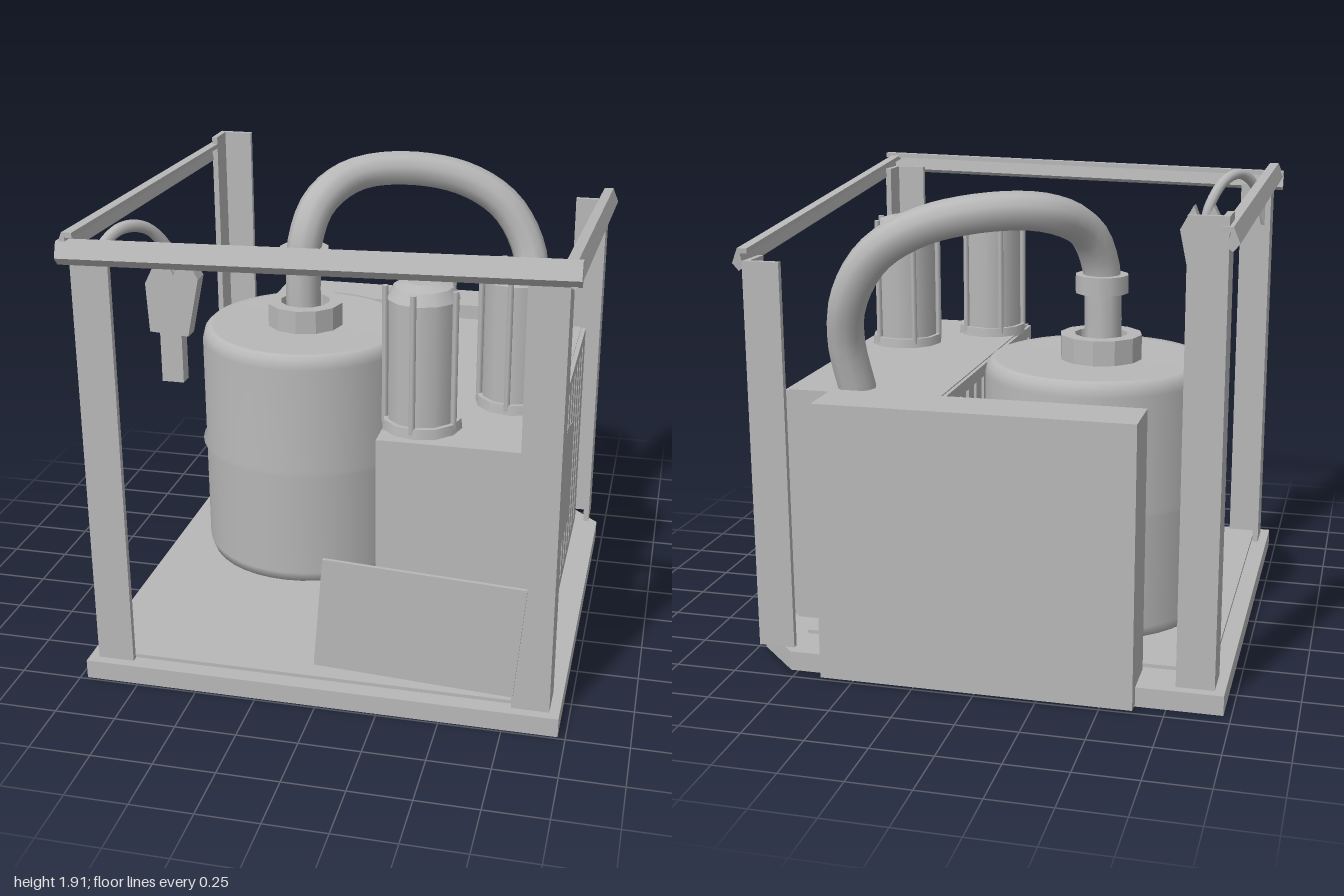
import * as THREE from 'three';

const grey = new THREE.MeshStandardMaterial({ color: 0xb8b8b8 });
grey.name = 'plain grey';
const V = (x, y, z) => new THREE.Vector3(x, y, z);
const shapeOf = (pts) => new THREE.Shape(pts.map(([x, y]) => new THREE.Vector2(x, y)));

export function createModel() {
  const root = new THREE.Group();
  root.name = 'filterSkid';

  const add = (name, geo, x = 0, y = 0, z = 0, parent = root) => {
    const m = new THREE.Mesh(geo, grey);
    m.name = name;
    m.position.set(x, y, z);
    parent.add(m);
    return m;
  };
  // Box given by its minimum and maximum on each axis
  const block = (name, x0, x1, y0, y1, z0, z1, parent) =>
    add(name, new THREE.BoxGeometry(x1 - x0, y1 - y0, z1 - z0),
      (x0 + x1) / 2, (y0 + y1) / 2, (z0 + z1) / 2, parent);
  const extrude = (shape, depth) => new THREE.ExtrudeGeometry(shape, { depth, bevelEnabled: false });
  const cyl = (name, r0, r1, y0, y1, x, z, sides, parent) =>
    add(name, new THREE.CylinderGeometry(r1, r0, y1 - y0, sides), x, (y0 + y1) / 2, z, parent);
  const tube = (name, pts, r, sides) =>
    add(name, new THREE.TubeGeometry(new THREE.CatmullRomCurve3(pts.map((p) => V(...p))), 40, r, sides));

  // Base with one cut back corner
  const base = extrude(shapeOf([[-0.97, -0.99], [0.97, -0.99], [0.97, 0.75], [0.78, 0.94], [-0.97, 0.94]]), 0.08);
  base.rotateX(-Math.PI / 2);
  add('basePlate', base);
  block('floor', -0.9, 0.78, 0.08, 0.095, -0.75, 0.92);

  // Angle-iron corner posts
  const post = (name, sx, sz, zOut, top) => {
    const g = new THREE.Group();
    g.name = name;
    root.add(g);
    const span = (a, b) => [Math.min(a, b), Math.max(a, b)];
    const t = 0.025;
    block('postFace', ...span(sx * 0.93, sx * 0.78), 0.08, top, ...span(sz * zOut, sz * (zOut - t)), g);
    block('postSide', ...span(sx * 0.93, sx * (0.93 - t)), 0.08, top,
      ...span(sz * (zOut - t), sz * (zOut - 0.15)), g);
  };
  post('frontRightPost', 1, 1, 0.95, 1.84);
  post('frontLeftPost', -1, 1, 0.95, 1.8);
  post('backRightPost', 1, -1, 0.9, 1.66);
  post('backLeftPost', -1, -1, 0.9, 1.89);

  // Top rails, swept from an angled section facing outward
  const rail = (name, from, to, outward) => {
    const dir = to.clone().sub(from);
    const len = dir.length();
    dir.normalize();
    const up = dir.clone().cross(outward).normalize();
    const geo = extrude(shapeOf([[-0.04, 0.025], [-0.01, 0.025], [-0.02, -0.03], [0, -0.045],
      [0.025, -0.015], [0, 0.045], [-0.04, 0.045]]), len);
    geo.applyMatrix4(new THREE.Matrix4().makeBasis(outward, up, dir).setPosition(from));
    add(name, geo);
  };
  rail('frontRail', V(0.97, 1.86, 0.97), V(-0.97, 1.815, 0.97), V(0, 0, 1));
  rail('rightRail', V(0.945, 1.665, -0.9), V(0.945, 1.85, 0.97), V(1, 0, 0));
  rail('leftRail', V(-0.945, 1.85, 0.97), V(-0.945, 1.81, -0.91), V(-1, 0, 0));

  // Drum tank with a raised seam
  const tankProfile = [[0, 0.12], [0.42, 0.12], [0.455, 0.135], [0.47, 0.18], [0.47, 0.645], [0.485, 0.66],
    [0.47, 0.675], [0.47, 1.14], [0.46, 1.18], [0.44, 1.2], [0.42, 1.197], [0, 1.197]];
  add('tank', new THREE.LatheGeometry(tankProfile.map(([x, y]) => new THREE.Vector2(x, y)), 40), -0.33, 0, -0.21);

  // Open neck ring, pipe collar and pipe
  const ring = new THREE.Shape();
  ring.absarc(0, 0, 0.17, 0, Math.PI * 2);
  const hole = new THREE.Path();
  hole.absarc(0, 0, 0.11, 0, Math.PI * 2, true);
  ring.holes.push(hole);
  const neck = new THREE.ExtrudeGeometry(ring, { depth: 0.11, bevelEnabled: false, curveSegments: 6 });
  neck.rotateX(-Math.PI / 2);
  add('tankNeck', neck, -0.34, 1.19, -0.21);
  cyl('pipeCollar', 0.11, 0.11, 1.47, 1.545, -0.34, -0.205, 12);
  tube('mainPipe', [[-0.345, 1.19, -0.2], [-0.345, 1.4, -0.2], [-0.335, 1.58, -0.21], [-0.29, 1.73, -0.29],
    [-0.17, 1.82, -0.45], [0.05, 1.832, -0.58], [0.3, 1.775, -0.66], [0.48, 1.66, -0.68],
    [0.59, 1.48, -0.665], [0.62, 1.3, -0.62], [0.59, 1.08, -0.575]], 0.077, 10);

  // Compressor housing with slotted side panels
  block('housing', 0.22, 0.85, 0.12, 1.105, -0.68, 0.81);
  const panel = shapeOf([[-0.8, 0.13], [0.68, 0.13], [0.68, 1.1], [-0.8, 1.1]]);
  for (let i = 0; i < 12; i++) {
    const u = -0.743 + i * 0.118;
    panel.holes.push(new THREE.Path([[u - 0.02, 0.18], [u - 0.02, 1.05], [u + 0.02, 1.05], [u + 0.02, 0.18]]
      .map(([x, y]) => new THREE.Vector2(x, y))));
  }
  const side = (name, shape, depth, x) => {
    add(name, extrude(shape, depth), x).rotation.y = Math.PI / 2;
  };
  side('rightVentPanel', panel, 0.02, 0.85);
  side('leftVentPanel', panel, 0.015, 0.205);
  side('patchPlate', shapeOf([[-0.37, 0.4], [0.19, 0.36], [0.19, 0.83], [-0.05, 0.91], [-0.11, 0.9], [-0.37, 0.8]]),
    0.022, 0.852);

  // Two filter canisters held by vertical rods
  for (const [name, x, z] of [['frontFilter', 0.35, 0.62], ['rearFilter', 0.67, 0.3]]) {
    const g = new THREE.Group();
    g.name = name;
    g.position.set(x, 0, z);
    root.add(g);
    cyl('filterFoot', 0.16, 0.155, 1.1, 1.145, 0, 0, 12, g);
    cyl('filterBody', 0.137, 0.137, 1.145, 1.63, 0, 0, 12, g);
    cyl('filterShoulder', 0.142, 0.115, 1.63, 1.675, 0, 0, 12, g);
    cyl('filterCap', 0.115, 0.06, 1.675, 1.69, 0, 0, 12, g);
    for (let i = 0; i < 5; i++) {
      const a = 0.4 + (i * Math.PI * 2) / 5;
      cyl('filterRod', 0.013, 0.013, 1.12, 1.675, 0.145 * Math.cos(a), 0.145 * Math.sin(a), 6, g);
    }
  }

  // Cabinet hung on the back
  block('backCabinet', -0.63, 0.63, 0.01, 1.14, -1, -0.77);

  // Crooked front plate
  add('frontPlate', extrude(shapeOf([[0, 0.2], [0.79, 0.16], [0.83, 0.63], [0.04, 0.67]]), 0.015), 0, 0, 0.985);

  // Spray gun and its hose
  add('gunBody', extrude(shapeOf([[-0.76, 1.4], [-0.6, 1.39], [-0.55, 1.63], [-0.61, 1.74],
    [-0.65, 1.64], [-0.7, 1.74], [-0.77, 1.6]]), 0.07), 0, 0, 0.54);
  block('gunNozzle', -0.72, -0.63, 1.19, 1.42, 0.545, 0.605);
  tube('gunHose', [[-0.9, 1.62, 0.92], [-0.87, 1.76, 0.87], [-0.8, 1.86, 0.77], [-0.73, 1.84, 0.66],
    [-0.67, 1.72, 0.58], [-0.66, 1.64, 0.575]], 0.024, 8);

  return root;
}
